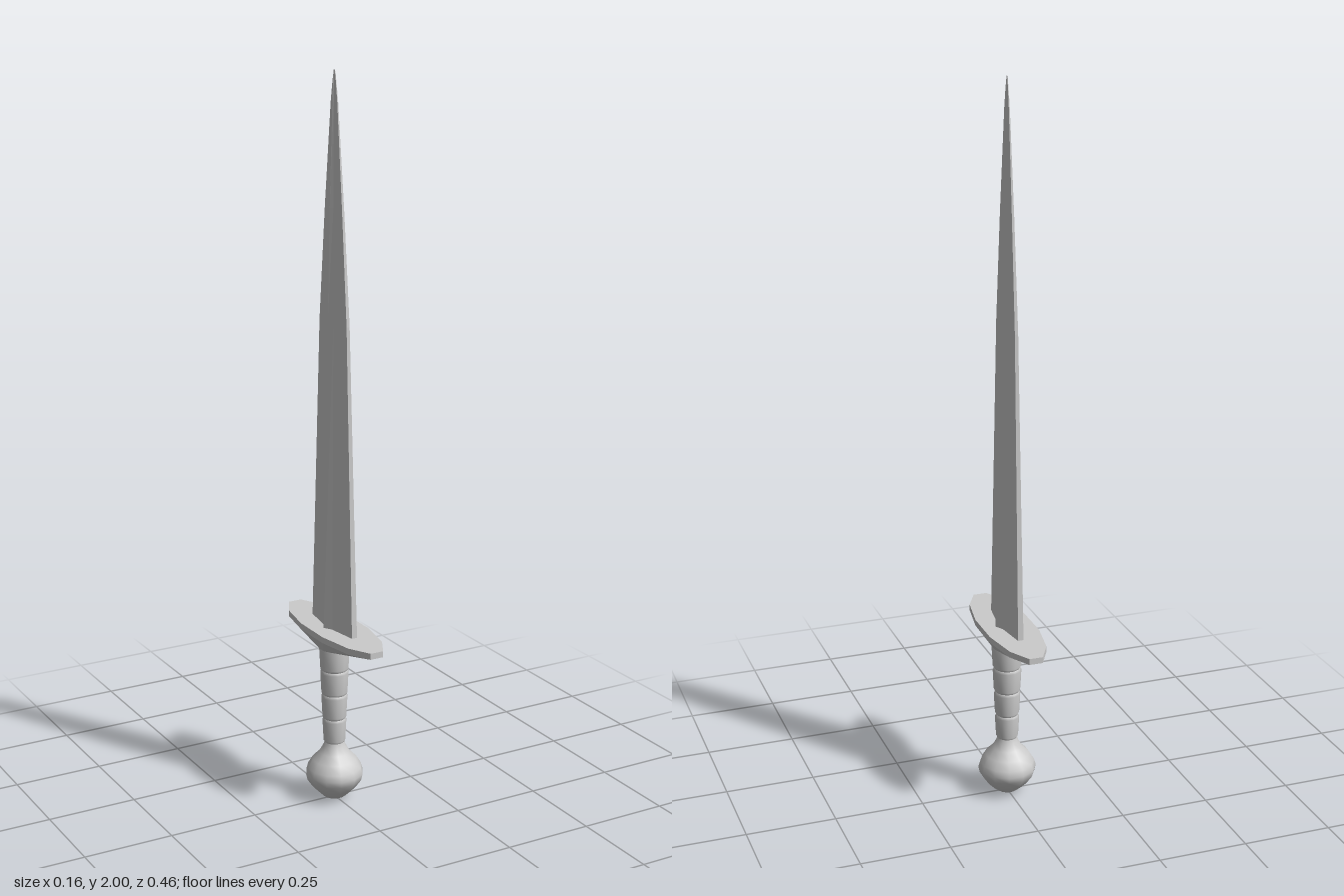
import * as THREE from 'three';

const material = new THREE.MeshStandardMaterial({ color: 0xcccccc });
const flatMaterial = new THREE.MeshStandardMaterial({ color: 0xcccccc, flatShading: true });

// Joins rings of [x, y, z] corners (running from +x towards +z, bottom to top) and caps both ends.
function loft(rings) {
  const n = rings[0].length;
  const points = rings.flat();
  const index = [];
  for (let r = 0; r < rings.length - 1; r++) {
    for (let i = 0; i < n; i++) {
      const a = r * n + i, b = r * n + (i + 1) % n;
      index.push(a, a + n, b, b, a + n, b + n);
    }
  }
  const centre = (ring) => [0, ring[0][1], 0];
  const bottom = points.push(centre(rings[0])) - 1;
  const top = points.push(centre(rings[rings.length - 1])) - 1;
  const last = (rings.length - 1) * n;
  for (let i = 0; i < n; i++) {
    const j = (i + 1) % n;
    index.push(bottom, i, j, top, last + j, last + i);
  }
  const geometry = new THREE.BufferGeometry();
  geometry.setAttribute('position', new THREE.Float32BufferAttribute(points.flat(), 3));
  geometry.setIndex(index);
  const flat = geometry.toNonIndexed();
  flat.computeVertexNormals();
  return flat;
}

// Twelve-sided oval ring with flats facing the axes
function oval(y, rx, rz) {
  return Array.from({ length: 12 }, (_, i) => {
    const a = (i + 0.5) * Math.PI / 6;
    return [rx * Math.cos(a), y, rz * Math.sin(a)];
  });
}

// Blade section: central ridge, hollow-ground faces, narrow blunt edges
function bladeRing([y, ridge, width]) {
  const shoulder = ridge * 0.6, edge = ridge * 0.23;
  const quarter = [[ridge, 0], [shoulder, width * 0.22], [edge, width]];
  const [p, q, r] = quarter;
  return [p, q, r, [-r[0], r[1]], [-q[0], q[1]], [-p[0], 0],
    [-q[0], -q[1]], [-r[0], -r[1]], [r[0], -r[1]], [q[0], -q[1]]]
    .map(([x, z]) => [x, y, z]);
}

function lathe(profile) {
  const points = profile.map(([r, y]) => new THREE.Vector2(r, y));
  return new THREE.LatheGeometry(points, 12, Math.PI / 12);
}

export function createModel() {
  const group = new THREE.Group();
  const add = (name, geometry, mat) => {
    const mesh = new THREE.Mesh(geometry, mat);
    mesh.name = name;
    group.add(mesh);
  };

  // Blade: height, half thickness, half width
  add('blade', loft([
    [0.5, 0.034, 0.11], [1.35, 0.02, 0.072], [1.65, 0.014, 0.045],
    [1.92, 0.006, 0.017], [1.97, 0.004, 0.009], [2, 0.001, 0.003],
  ].map(bladeRing)), flatMaterial);

  // Guard: flat top, thin rim, tapering underside
  add('guard', loft([
    oval(0.443, 0.042, 0.042), oval(0.489, 0.0735, 0.236), oval(0.506, 0.0735, 0.236),
  ]), flatMaterial);

  // Grip: four tapering bands with narrow grooves between them
  const grip = new THREE.Group();
  grip.name = 'grip';
  const bands = 4, low = 0.165, high = 0.45;
  const step = (high - low) / bands;
  const radius = (y) => THREE.MathUtils.mapLinear(y, low, high, 0.031, 0.043);
  for (let i = 0; i < bands; i++) {
    const y0 = low + i * step, y1 = y0 + step;
    const band = new THREE.Mesh(lathe([
      [radius(y0) - 0.004, y0], [radius(y0), y0 + 0.007],
      [radius(y1), y1 - 0.007], [radius(y1) - 0.004, y1],
    ]), material);
    band.name = 'gripBand';
    grip.add(band);
  }
  group.add(grip);

  // Pommel: rounded knob with a narrow neck and flat foot
  add('pommel', lathe([
    [0.027, 0.168], [0.031, 0.155], [0.042, 0.135], [0.062, 0.115], [0.076, 0.092],
    [0.081, 0.074], [0.077, 0.056], [0.06, 0.032], [0.04, 0.012], [0.028, 0.003], [0, 0],
  ].reverse()), material);

  return group;
}
